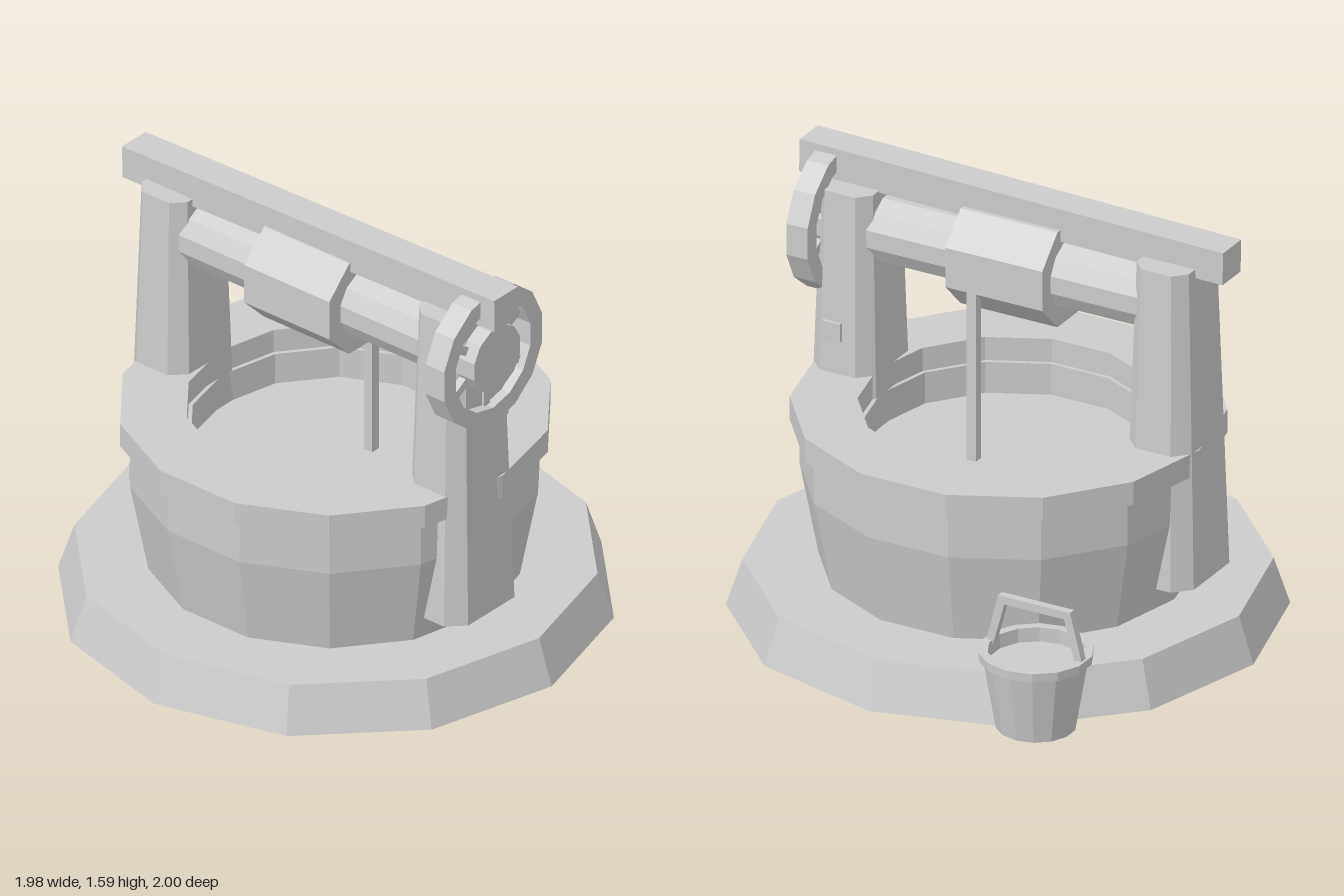
import * as THREE from 'three';

// Double-sided because the slab and bucket are open shells
const stone = new THREE.MeshStandardMaterial({ color: 0xcccccc, side: THREE.DoubleSide });
stone.name = 'grey';

// Facet a geometry, then wrap it in a named mesh
function part(name, geo, x = 0, y = 0, z = 0) {
  const flat = geo.index ? geo.toNonIndexed() : geo;
  flat.computeVertexNormals();
  const mesh = new THREE.Mesh(flat, stone);
  mesh.name = name;
  mesh.position.set(x, y, z);
  return mesh;
}

function lathe(profile, sides, start = 0) {
  return new THREE.LatheGeometry(profile.map(([r, y]) => new THREE.Vector2(r, y)), sides, start);
}

// Faceted rod along x
function rod(radius, length, sides) {
  return new THREE.CylinderGeometry(radius, radius, length, sides)
    .rotateY(Math.PI / sides).rotateZ(-Math.PI / 2);
}

// Tapered post with chamfered corners
function postGeometry() {
  const w = 0.14, d = 0.186, c = 0.06, height = 1.21;
  const outline = [[w - c, -d], [w, c - d], [w, d - c], [w - c, d], [c - w, d], [-w, d - c], [-w, c - d], [c - w, -d]];
  const shape = new THREE.Shape(outline.map(([x, y]) => new THREE.Vector2(x, y)));
  const geo = new THREE.ExtrudeGeometry(shape, { depth: height, bevelEnabled: false }).rotateX(-Math.PI / 2);
  const p = geo.attributes.position;
  for (let i = 0; i < p.count; i++) {
    const t = p.getY(i) / height;
    p.setX(i, p.getX(i) * (1 - 0.25 * t));
    p.setZ(i, p.getZ(i) * (1 - 0.21 * t));
  }
  return geo;
}

function createBucket() {
  const bucket = new THREE.Group();
  bucket.name = 'bucket';
  // Open at the bottom, with a disc just below the rim
  bucket.add(part('bucketBody', lathe([
    [0.143, 0.008], [0.187, 0.268], [0.203, 0.272], [0.205, 0.305],
    [0.172, 0.305], [0.172, 0.25], [0, 0.25],
  ], 14)));
  // Trapezoid handle with an open middle
  const handle = new THREE.Shape([[-0.195, 0.29], [-0.165, 0.29], [-0.12, 0.455], [0.12, 0.455],
    [0.165, 0.29], [0.195, 0.29], [0.145, 0.485], [-0.145, 0.485]].map(([x, y]) => new THREE.Vector2(x, y)));
  bucket.add(part('bucketHandle',
    new THREE.ExtrudeGeometry(handle, { depth: 0.03, bevelEnabled: false }), 0, 0, -0.015));
  bucket.position.set(-0.573, 0, -0.803);
  return bucket;
}

function createWheel() {
  const wheel = new THREE.Group();
  wheel.name = 'crankWheel';
  const ring = [[0.207, -0.043], [0.272, -0.043], [0.272, 0.043], [0.207, 0.043], [0.207, -0.043]];
  wheel.add(part('wheelRim', lathe(ring, 14, Math.PI / 14).rotateZ(-Math.PI / 2)));
  for (let i = 0; i < 6; i++) {
    const spoke = part('wheelSpoke', new THREE.BoxGeometry(0.03, 0.13, 0.032).translate(0, 0.155, 0));
    spoke.rotation.x = i * Math.PI / 3;
    wheel.add(spoke);
  }
  return wheel;
}

export function createModel() {
  const well = new THREE.Group();
  well.name = 'well';
  const axleY = 1.307, axleZ = 0.085;

  // Ground slab, open underneath
  well.add(part('base', lathe([[0.988, 0], [0.93, 0.175], [0, 0.175]], 12), 0, 0, 0.006));

  // Basin with overhanging rim, inner wall and floor
  well.add(part('basin', lathe([
    [0.667, 0.175], [0.733, 0.52], [0.733, 0.69], [0.768, 0.69], [0.768, 0.78],
    [0.53, 0.78], [0.53, 0.69], [0.515, 0.69], [0.515, 0.57], [0, 0.57],
  ], 14, Math.PI / 14), 0, 0, 0.01));

  // Posts and slightly tilted crossbeam
  for (const side of [-1, 1]) {
    well.add(part(side > 0 ? 'leftPost' : 'rightPost', postGeometry(), side * 0.636, 0.26, 0.083));
  }
  const beam = part('crossbeam', new THREE.BoxGeometry(1.705, 0.125, 0.128), 0, 1.514, 0.092);
  beam.rotation.z = 0.02;
  well.add(beam);

  // Axle, rope drum and hanging rope
  well.add(part('axle', rod(0.129, 1.425, 12), 0.0925, axleY, axleZ));
  well.add(part('ropeDrum', rod(0.2, 0.39, 8), -0.003, axleY, axleZ));
  well.add(part('rope', new THREE.BoxGeometry(0.037, 0.67, 0.037), 0.087, 0.915, -0.083));

  // Wheel on the axle end
  const wheel = createWheel();
  wheel.position.set(0.745, axleY, 0.087);
  well.add(wheel);

  // Small plaque behind the left post
  well.add(part('plaque', new THREE.BoxGeometry(0.075, 0.07, 0.014), 0.635, 0.965, -0.127));

  well.add(createBucket());
  return well;
}
